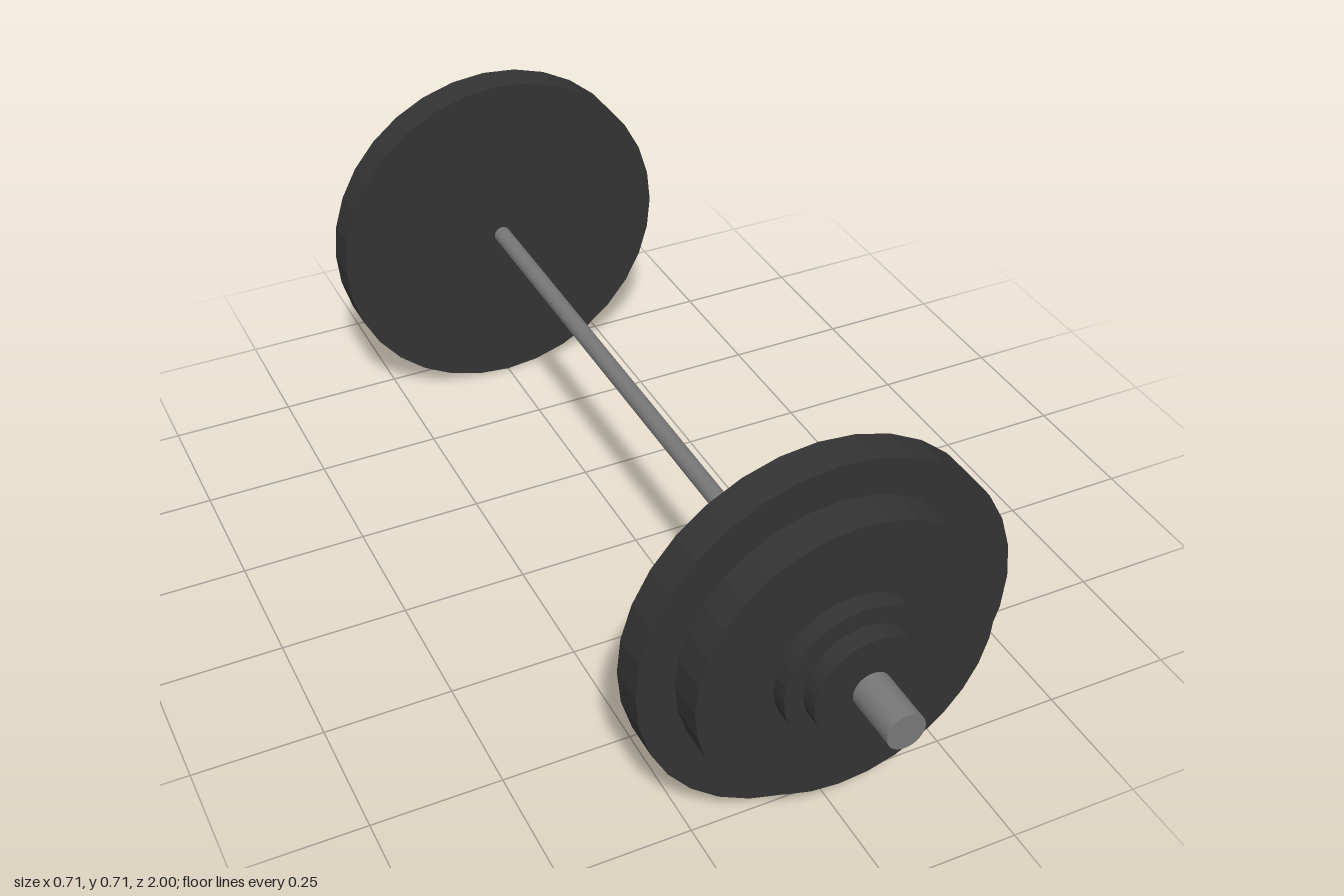
import * as THREE from 'three';

const U = 1 / 28; // the bar is 56 units long
const iron = new THREE.MeshStandardMaterial({ color: 0x333333, flatShading: true });
const steel = new THREE.MeshStandardMaterial({ color: 0x777777, flatShading: true });

// Disc or rod along z, from z0 to z1 (in units)
function disc(name, radius, z0, z1, material, sides = 32) {
  const geometry = new THREE.CylinderGeometry(radius * U, radius * U, (z1 - z0) * U, sides);
  geometry.rotateX(Math.PI / 2);
  const mesh = new THREE.Mesh(geometry, material);
  mesh.name = name;
  mesh.position.z = ((z0 + z1) / 2) * U;
  return mesh;
}

// One loaded end, built towards +z
function loadedEnd(name) {
  const end = new THREE.Group();
  end.name = name;
  end.add(
    disc('largePlate', 10, 19, 21, iron),
    disc('mediumPlate', 8, 21, 23, iron),
    disc('smallPlate', 4, 23, 24, iron),
    disc('collar', 3, 24, 25, iron),
    disc('sleeve', 1, 20, 28, steel)
  );
  return end;
}

export function createModel() {
  const barbell = new THREE.Group();
  barbell.name = 'barbell';

  // Thin grip bar between the plates
  barbell.add(disc('gripBar', 0.5, -20, 20, steel, 16));

  // Matching weights at both ends
  const front = loadedEnd('frontWeights');
  const back = loadedEnd('backWeights');
  back.rotation.y = Math.PI;
  barbell.add(front, back);

  barbell.position.y = 10 * U;
  const model = new THREE.Group();
  model.name = 'model';
  model.add(barbell);
  return model;
}
